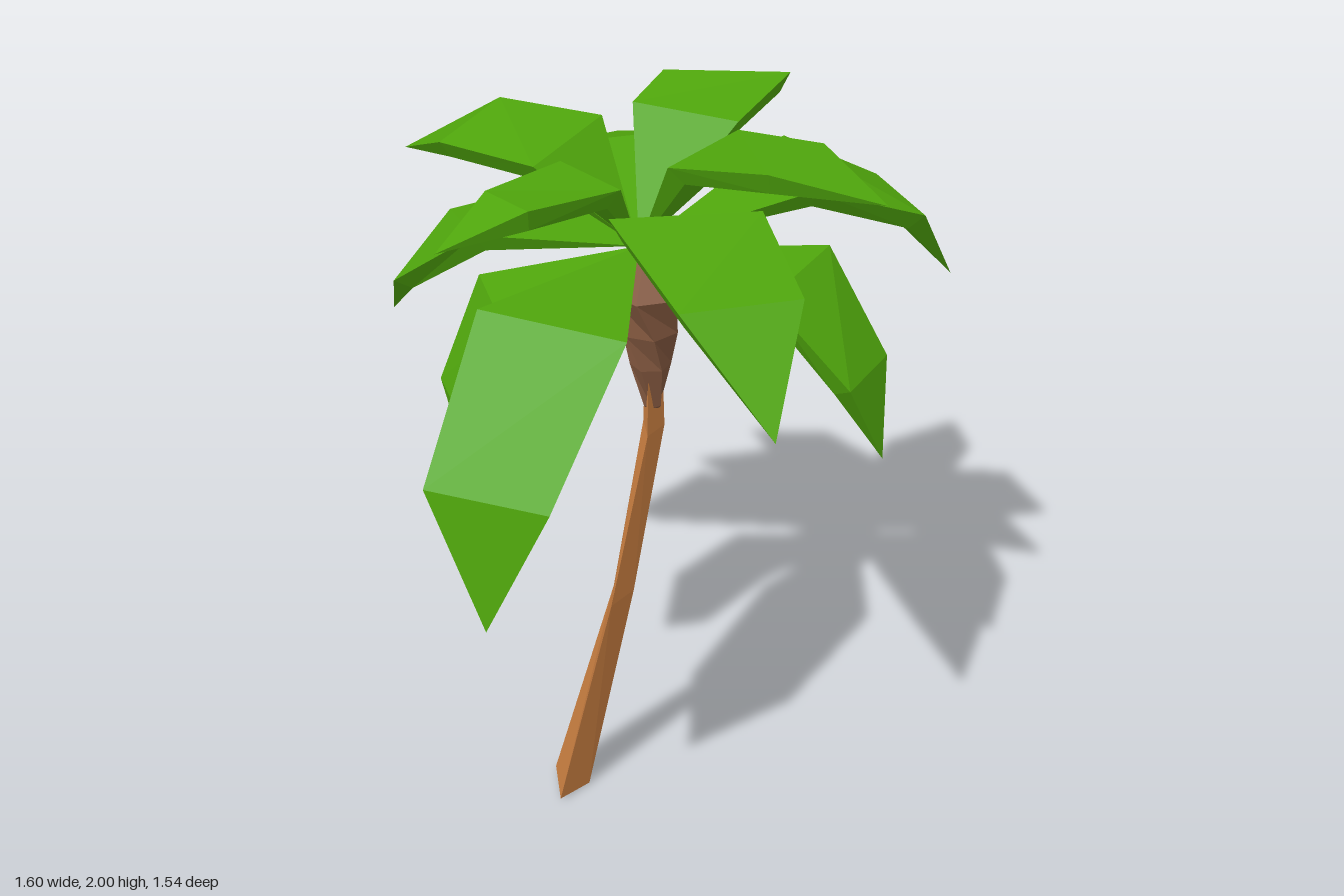
import * as THREE from 'three';

const leafGreen = new THREE.MeshStandardMaterial({ color: 0x4fa50c, flatShading: true });
leafGreen.name = 'leaf green';
const barkOrange = new THREE.MeshStandardMaterial({ color: 0xca7f41, flatShading: true });
barkOrange.name = 'bark orange';
const huskBrown = new THREE.MeshStandardMaterial({ color: 0x83583f, flatShading: true });
huskBrown.name = 'husk brown';

function faceted(points, index) {
  const g = new THREE.BufferGeometry();
  g.setAttribute('position', new THREE.Float32BufferAttribute(points.flat(), 3));
  g.setIndex(index);
  const out = g.toNonIndexed();
  out.computeVertexNormals();
  return out;
}

// Leaf: a solid blade, thick at its two cross edges, pointed at crown and tip
const crown = [0.02, 1.7, 0.05];
const thickness = 0.05;
const bladeFaces = [
  0, 2, 1, 1, 2, 4, 1, 4, 3, 3, 4, 5, // top
  0, 6, 7, 6, 9, 7, 6, 8, 9, 8, 5, 9, // underside
  0, 1, 6, 1, 3, 8, 1, 8, 6, 3, 5, 8, // one side
  0, 7, 2, 2, 9, 4, 2, 7, 9, 4, 9, 5, // other side
];
function leafGeometry(corners) {
  const [root, a1, b1, a2, b2, tip] = [crown, ...corners].map((p) => new THREE.Vector3(...p));
  // Lower corners of one cross edge, set in a little from the upper ones
  const under = (a, b, before, after) => {
    const down = b.clone().sub(a).cross(after.clone().sub(before)).setLength(-thickness);
    return [a.clone().lerp(b, 0.08).add(down), b.clone().lerp(a, 0.08).add(down)];
  };
  const mid1 = a1.clone().lerp(b1, 0.5), mid2 = a2.clone().lerp(b2, 0.5);
  const points = [root, a1, b1, a2, b2, tip, ...under(a1, b1, root, mid2), ...under(a2, b2, mid1, tip)];
  return faceted(points.map((p) => p.toArray()), bladeFaces);
}

// Each leaf: first edge (two corners), second edge (two corners), tip
const leaves = {
  topBackLeaf: [[-0.2, 1.96, -0.1], [0.08, 1.97, -0.2], [-0.27, 1.99, -0.25], [-0.04, 2, -0.47], [-0.24, 1.9, -0.64]],
  topLeftLeaf: [[0.08, 1.95, -0.2], [0.18, 1.96, 0.09], [0.34, 1.99, -0.23], [0.4, 1.99, -0.01], [0.58, 1.93, -0.2]],
  topFrontLeaf: [[0.14, 1.92, 0.19], [-0.08, 1.92, 0.2], [0.13, 1.93, 0.43], [-0.04, 1.92, 0.43], [0.05, 1.855, 0.62]],
  topRightLeaf: [[-0.15, 1.89, 0.23], [-0.26, 1.92, -0.05], [-0.44, 1.88, 0.31], [-0.52, 1.92, 0.08], [-0.69, 1.78, 0.27]],
  middleLeftLeaf: [[0.4, 1.91, 0], [0.23, 1.91, 0.29], [0.65, 1.83, 0.1], [0.56, 1.84, 0.36], [0.8, 1.63, 0.3]],
  middleBackLeaf: [[0, 1.86, -0.42], [0.29, 1.85, -0.26], [0.1, 1.73, -0.66], [0.36, 1.73, -0.57], [0.29, 1.49, -0.77]],
  middleRightLeaf: [[-0.35, 1.84, 0.05], [-0.24, 1.84, -0.24], [-0.6, 1.71, -0.06], [-0.53, 1.74, -0.3], [-0.8, 1.5, -0.26]],
  lowFrontLeftLeaf: [[0.4, 1.71, 0.37], [0.06, 1.7, 0.53], [0.47, 1.41, 0.63], [0.18, 1.38, 0.77], [0.34, 1.06, 0.73]],
  lowFrontRightLeaf: [[0, 1.6, 0.43], [-0.26, 1.6, 0.33], [-0.02, 1.33, 0.53], [-0.28, 1.34, 0.45], [-0.15, 1.08, 0.45]],
  lowRightLeaf: [[-0.27, 1.7, 0.33], [-0.4, 1.71, 0.03], [-0.54, 1.5, 0.42], [-0.66, 1.59, 0.17], [-0.69, 1.34, 0.35]],
  lowBackLeftLeaf: [[0.31, 1.71, -0.3], [0.42, 1.7, -0.01], [0.48, 1.47, -0.35], [0.59, 1.5, -0.12], [0.58, 1.26, -0.26]],
  lowBackRightLeaf: [[-0.25, 1.57, -0.22], [-0.02, 1.57, -0.32], [-0.34, 1.47, -0.37], [-0.09, 1.48, -0.46], [-0.28, 1.03, -0.57]],
};

// Trunk: three-sided rings joined from the ground up
function trunkGeometry() {
  const rings = [
    [[-0.11, 0.02, 0.27], [0, 0.01, 0.33], [-0.01, 0, 0.22]],
    [[0.02, 0.72, 0.14], [0.09, 0.72, 0.2], [0.07, 0.72, 0.11]],
    [[0.01, 1.2, 0.03], [0.08, 1.2, 0.07], [0.06, 1.2, 0]],
    [[0.02, 1.45, 0.03], [0.07, 1.45, 0.06], [0.06, 1.45, 0.01]],
  ];
  const index = [0, 2, 1, 9, 10, 11];
  for (let r = 0; r < 3; r++) {
    for (let i = 0; i < 3; i++) {
      const a = r * 3 + i, b = r * 3 + (i + 1) % 3;
      index.push(a, b, a + 3, b, b + 3, a + 3);
    }
  }
  return faceted(rings.flat(), index);
}

// Husk: rough faceted bulb, twisted and leaning at each level
function huskGeometry() {
  const profile = [[0, 1.24], [0.025, 1.27], [0.052, 1.39], [0.075, 1.49], [0.1, 1.6], [0, 1.7]];
  const g = new THREE.LatheGeometry(profile.map(([r, y]) => new THREE.Vector2(r, y)), 6);
  const p = g.attributes.position;
  for (let i = 0; i < p.count; i++) {
    const x = p.getX(i), y = p.getY(i), z = p.getZ(i), t = (y - 1.24) * 4;
    p.setXYZ(i, x * Math.cos(t) - z * Math.sin(t) + 0.05, y, x * Math.sin(t) + z * Math.cos(t) + 0.03 + (y - 1.24) * 0.05);
  }
  g.computeVertexNormals();
  return g;
}

export function createModel() {
  const tree = new THREE.Group();
  tree.name = 'palmTree';
  const add = (name, geometry, material) => {
    const mesh = new THREE.Mesh(geometry, material);
    mesh.name = name;
    tree.add(mesh);
  };
  add('trunk', trunkGeometry(), barkOrange);
  add('husk', huskGeometry(), huskBrown);
  for (const [name, corners] of Object.entries(leaves)) add(name, leafGeometry(corners), leafGreen);
  return tree;
}
